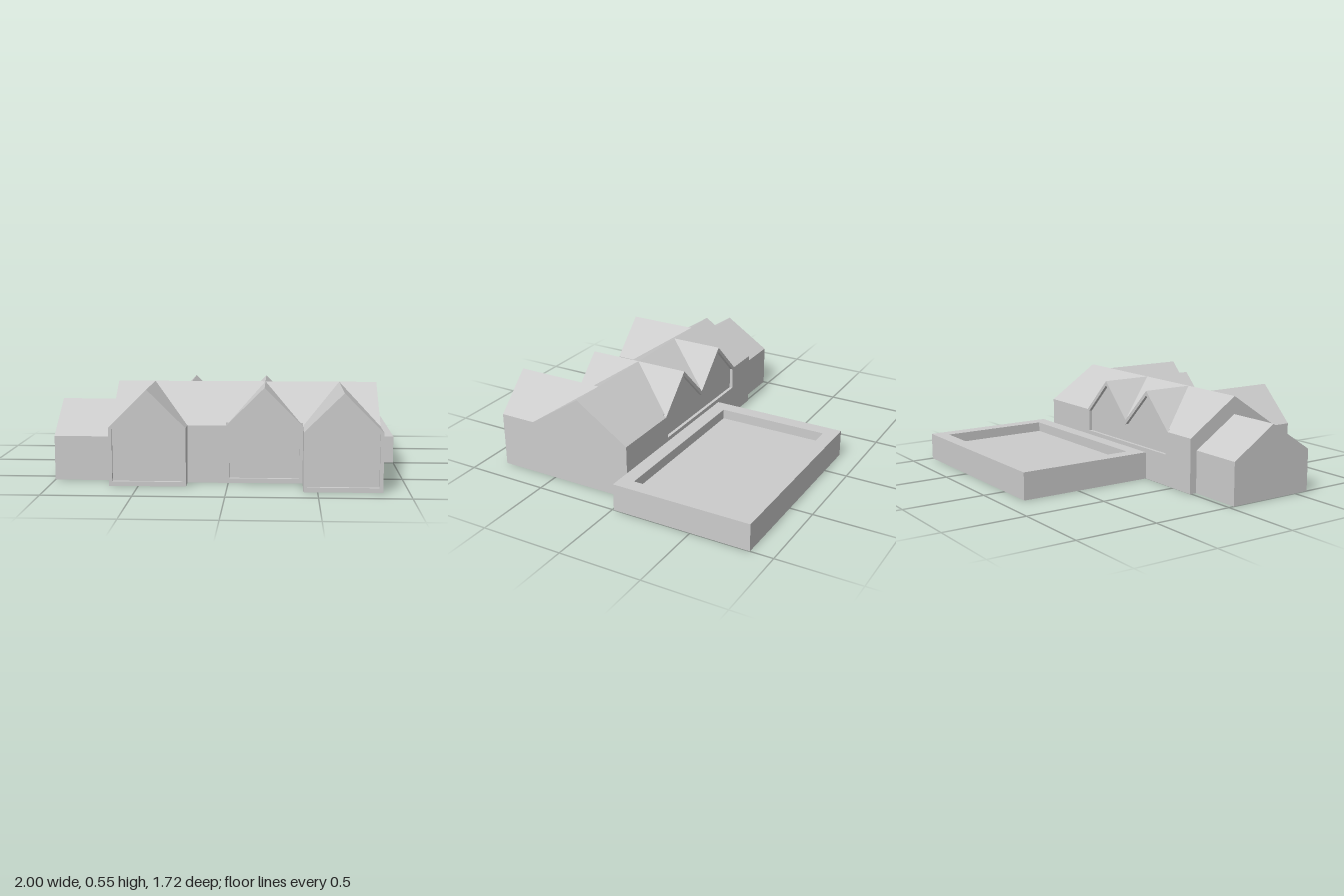
import * as THREE from 'three';

const EAVE = 0.33, RIDGE = 0.545, RIDGE_Z = 0.315, BACK = -0.01, FRONT = 0.64;
const HALF = 0.217;   // half width of a gable
const REVEAL = 0.02;  // depth and width of the frame round each recessed panel

export function createModel() {
  const model = new THREE.Group();
  const material = new THREE.MeshStandardMaterial({ color: 0xcccccc, flatShading: true });

  const outline = (points) => new THREE.Shape(points.map(([x, y]) => new THREE.Vector2(x, y)));

  function extrude(name, shape, depth, parent = model) {
    const geometry = new THREE.ExtrudeGeometry(shape, { depth, bevelEnabled: false });
    const mesh = new THREE.Mesh(geometry, material);
    mesh.name = name;
    parent.add(mesh);
    return mesh;
  }

  // Pitched block with its ridge along x; z0 and z1 may cut the slopes short
  function pitchedBlock(name, x0, x1, z0, z1, eave0, eave1, ridge) {
    const shape = outline([[-z0, 0], [-z0, eave0], [-RIDGE_Z, ridge], [-z1, eave1], [-z1, 0]]);
    const mesh = extrude(name, shape, x1 - x0);
    mesh.rotation.y = Math.PI / 2;
    mesh.position.x = x0;
  }

  // House-shaped outline, inset evenly on all sides
  function gableOutline(inset) {
    const w = HALF - inset;
    const peak = RIDGE - inset * Math.SQRT2;
    return [[-w, inset * 1.3], [w, inset * 1.3], [w, peak - w * (RIDGE - EAVE) / HALF],
      [0, peak], [-w, peak - w * (RIDGE - EAVE) / HALF]];
  }

  // Front gable: solid body with a raised frame round the recessed panel
  function frontGable(name, x, z1) {
    const gable = new THREE.Group();
    gable.name = name;
    gable.position.x = x;
    model.add(gable);
    const body = extrude('gableBody', outline(gableOutline(0)), z1 - REVEAL - RIDGE_Z, gable);
    body.position.z = RIDGE_Z;
    const frameShape = outline(gableOutline(0));
    frameShape.holes.push(outline(gableOutline(REVEAL)));
    extrude('gableFrame', frameShape, REVEAL, gable).position.z = z1 - REVEAL;
  }

  // Main hall, in bays; a bay behind a flush gable stops short at the recess
  const pitch = (RIDGE - EAVE) / (FRONT - RIDGE_Z);
  const bays = [
    [-0.665, -0.445, false, false],
    [-0.445, -0.012, true, false],
    [-0.012, 0.422, true, true],
    [0.422, 0.856, false, false],
  ];
  for (const [x0, x1, cutBack, cutFront] of bays) {
    const z0 = BACK + (cutBack ? REVEAL : 0);
    const z1 = FRONT - (cutFront ? REVEAL : 0);
    pitchedBlock('mainHallBay', x0, x1, z0, z1,
      EAVE + (cutBack ? REVEAL * pitch : 0), EAVE + (cutFront ? REVEAL * pitch : 0), RIDGE);
  }

  // Lower side wing
  pitchedBlock('sideWing', -1, -0.665, 0.035, 0.595, 0.255, 0.255, 0.437);

  // Front gables
  frontGable('outerGable', -0.448, 0.75);
  frontGable('flushGable', 0.205, FRONT);
  frontGable('longGable', 0.639, 0.862);

  // Twin back gables
  const backGables = new THREE.Group();
  backGables.name = 'backGables';
  backGables.position.x = -0.012;
  model.add(backGables);
  for (const side of [-1, 1]) {
    const body = extrude('backGableBody', outline(gableOutline(0)), RIDGE_Z - BACK - REVEAL, backGables);
    body.position.set(side * HALF, 0, BACK + REVEAL);
  }

  // One frame runs round both back gables
  function twinOutline(inset, bottom) {
    const w = 2 * HALF - inset;
    const drop = inset * Math.SQRT2;
    const eave = EAVE - drop + inset;
    return [[-w, bottom], [w, bottom], [w, eave], [HALF, RIDGE - drop],
      [0, EAVE - drop], [-HALF, RIDGE - drop], [-w, eave]];
  }
  const twinFrame = outline(twinOutline(0, 0));
  twinFrame.holes.push(outline(twinOutline(REVEAL, 0.19)));
  extrude('backGableFrame', twinFrame, REVEAL, backGables).position.z = BACK;

  // Flat annex: solid base under a raised rim
  const x0 = -0.23, x1 = 1, z0 = -0.862, z1 = BACK;
  const floorY = 0.105, topY = 0.165, rim = 0.085;
  const base = new THREE.Mesh(new THREE.BoxGeometry(x1 - x0, floorY, z1 - z0), material);
  base.name = 'annexBase';
  base.position.set((x0 + x1) / 2, floorY / 2, (z0 + z1) / 2);
  model.add(base);
  const rectangle = (i) => outline([[x0 + i, -z1 + i], [x1 - i, -z1 + i], [x1 - i, -z0 - i], [x0 + i, -z0 - i]]);
  const rimShape = rectangle(0);
  rimShape.holes.push(rectangle(rim));
  const parapet = extrude('annexParapet', rimShape, topY - floorY);
  parapet.rotation.x = -Math.PI / 2;
  parapet.position.y = floorY;

  return model;
}
